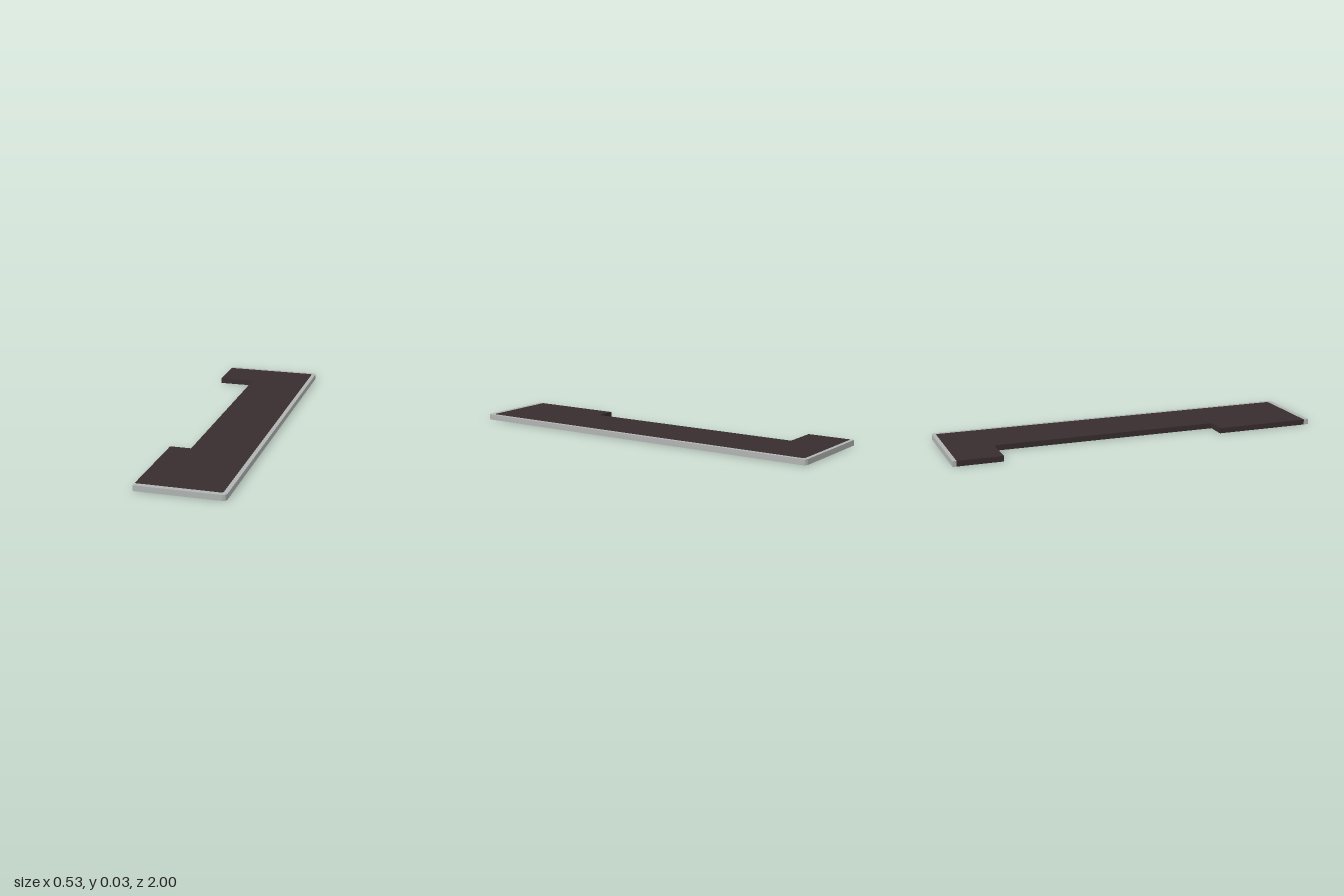
import * as THREE from 'three';

const HEIGHT = 0.0286;

// Extrudes a plan outline given as [x, z] points, standing on y = 0
function plate(points, material, name) {
  const shape = new THREE.Shape(points.map(([x, z]) => new THREE.Vector2(x, -z)));
  const geometry = new THREE.ExtrudeGeometry(shape, { depth: HEIGHT, bevelEnabled: false });
  geometry.rotateX(-Math.PI / 2);
  const mesh = new THREE.Mesh(geometry, material);
  mesh.name = name;
  return mesh;
}

// Two-segment rounded corner from one edge to the next, bulging towards (sx, sz)
function corner(x, z, r, sx, sz) {
  const k = r * (1 - Math.SQRT1_2);
  return [[x - sx * r, z], [x - sx * k, z - sz * k], [x, z - sz * r]];
}

export function createModel() {
  const dark = new THREE.MeshStandardMaterial({ color: 0x382d2e });
  dark.name = 'darkBrown';
  const grey = new THREE.MeshStandardMaterial({ color: 0xb0b4b2 });
  grey.name = 'lightGrey';

  const backLeft = -0.265, frontLeft = -0.18, right = 0.265;
  const innerX = 0.243, innerBack = -0.98, innerFront = 0.973;

  // Border between slab and edging, running from the back end to the front end
  const inner = [
    [backLeft, innerBack],
    ...corner(innerX, innerBack, 0.012, 1, -1),
    ...corner(innerX, innerFront, 0.012, 1, 1).reverse(),
    [frontLeft, innerFront],
  ];
  const outer = [
    [backLeft, -1],
    ...corner(right, -1, 0.02, 1, -1),
    ...corner(right, 1, 0.02, 1, 1).reverse(),
    [frontLeft, 1],
  ];

  // Slab with a long notch on one side
  const slab = plate([
    ...inner,
    [frontLeft, 0.465], [-0.07, 0.465],
    [-0.07, -0.745], [backLeft, -0.745],
  ], dark, 'slab');

  // Edging strip wrapped around three sides
  const edging = plate([...outer, ...inner.slice().reverse()], grey, 'edging');

  const group = new THREE.Group();
  group.name = 'edgedSlab';
  group.add(slab, edging);
  return group;
}
